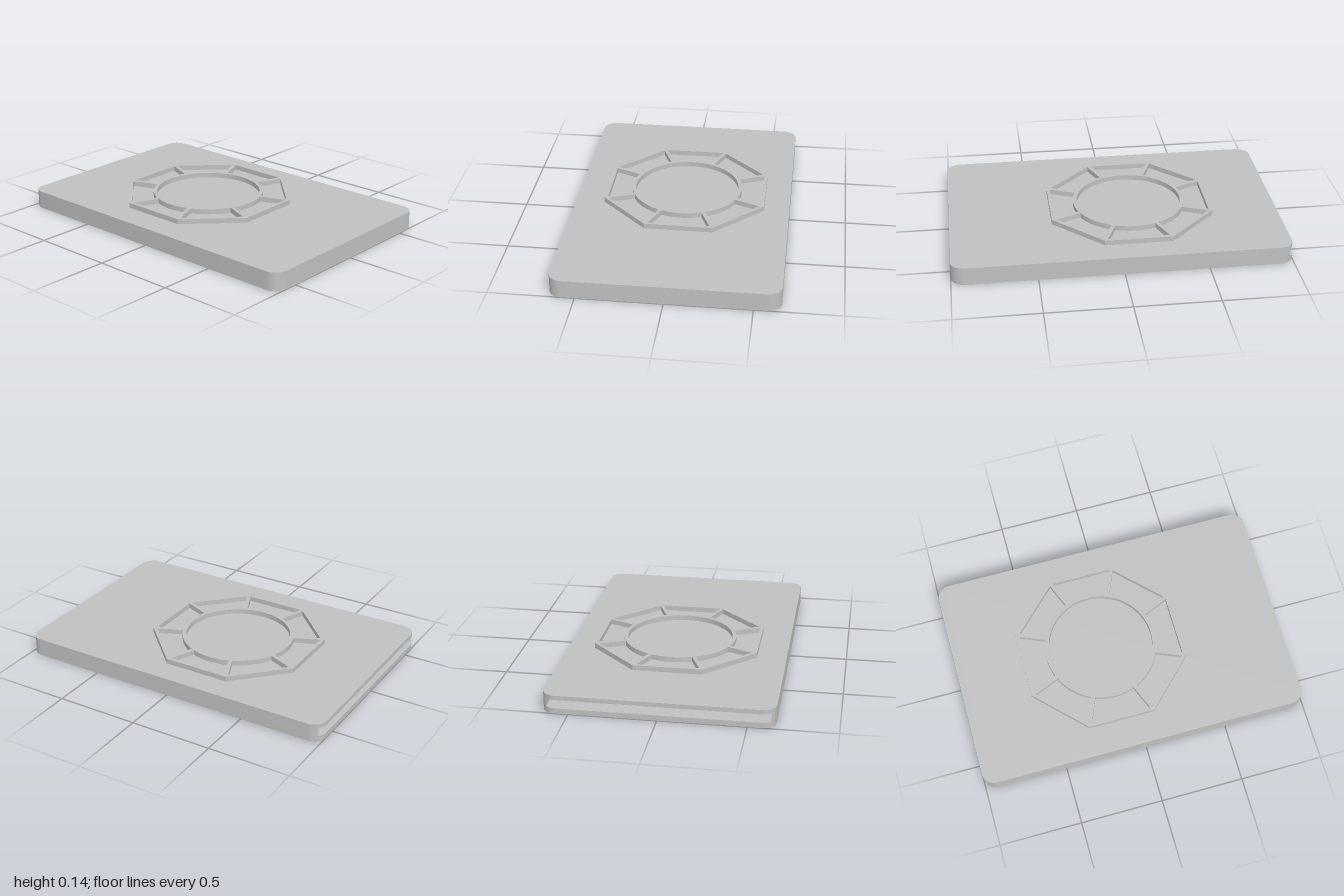
import * as THREE from 'three';
import { toCreasedNormals } from 'three/addons/utils/BufferGeometryUtils.js';

const PI = Math.PI;
const CX = 0.575, CZ = 0.92, R = 0.08; // corner centres and radius of the case
const SLOT_X = 0.63;                   // half width of the slot
const Y = [0, 0.032, 0.083, 0.109, 0.14]; // floor, slot bottom, slot top, lid top, frame top

export function createModel() {
  const group = new THREE.Group();
  const grey = new THREE.MeshStandardMaterial({ color: 0xc0c0c0 });
  grey.name = 'light grey';

  // Extrudes a plan shape (shape y = -z) upwards between two heights.
  function slab(name, shape, y0, y1, curveSegments = 12) {
    let geo = new THREE.ExtrudeGeometry(shape, { depth: y1 - y0, bevelEnabled: false, curveSegments });
    geo.rotateX(-PI / 2);
    geo.translate(0, y0, 0);
    geo = toCreasedNormals(geo, 0.5);
    const mesh = new THREE.Mesh(geo, grey);
    mesh.name = name;
    group.add(mesh);
    return mesh;
  }

  // Rounded rectangle for the bottom and top plates
  const plate = new THREE.Shape();
  [[1, 1], [-1, 1], [-1, -1], [1, -1]].forEach(([sx, sy], i) =>
    plate.absarc(sx * CX, sy * CZ, R, i * PI / 2, (i + 1) * PI / 2, false));
  slab('bottomPlate', plate, Y[0], Y[1]);
  slab('topPlate', plate, Y[2], Y[3]);

  // U-shaped wall around the slot, open at the back
  const a = Math.acos((SLOT_X - CX) / R), r = SLOT_X - CX;
  const wall = new THREE.Shape();
  wall.absarc(-CX, CZ, R, PI - a, PI, false);
  wall.absarc(-CX, -CZ, R, PI, 1.5 * PI, false);
  wall.absarc(CX, -CZ, R, 1.5 * PI, 2 * PI, false);
  wall.absarc(CX, CZ, R, 0, a, false);
  wall.absarc(CX, -CZ, r, 0, -PI / 2, true);
  wall.absarc(-CX, -CZ, r, -PI / 2, -PI, true);
  wall.closePath();
  slab('slotWall', wall, Y[1], Y[2]);

  // Raised octagonal frame with a ring and eight spokes
  const apothem = 0.49, rim = 0.02, ringOut = 0.341, ringIn = 0.319, halfSpoke = 0.011;
  const corner = apothem / Math.cos(PI / 8);
  const frame = new THREE.Shape();
  for (let i = 0; i < 8; i++) {
    const t = (i + 0.5) * PI / 4;
    frame[i ? 'lineTo' : 'moveTo'](corner * Math.cos(t), corner * Math.sin(t));
  }
  frame.closePath();
  frame.holes.push(new THREE.Path().absarc(0, 0, ringIn, 0, 2 * PI, true));

  // Pockets between the spokes
  const inner = apothem - rim;
  const half = inner * Math.tan(PI / 8) - halfSpoke / Math.cos(PI / 8);
  const sweep = PI / 8 - Math.asin(halfSpoke / ringOut);
  for (let i = 0; i < 8; i++) {
    const t = i * PI / 4, c = Math.cos(t), s = Math.sin(t);
    const pocket = new THREE.Path();
    pocket.moveTo(inner * c - half * s, inner * s + half * c);
    pocket.lineTo(inner * c + half * s, inner * s - half * c);
    pocket.absarc(0, 0, ringOut, t - sweep, t + sweep, false);
    pocket.closePath();
    frame.holes.push(pocket);
  }
  slab('octagonFrame', frame, Y[3], Y[4], 32).position.set(0.01, 0, -0.105);

  return group;
}
